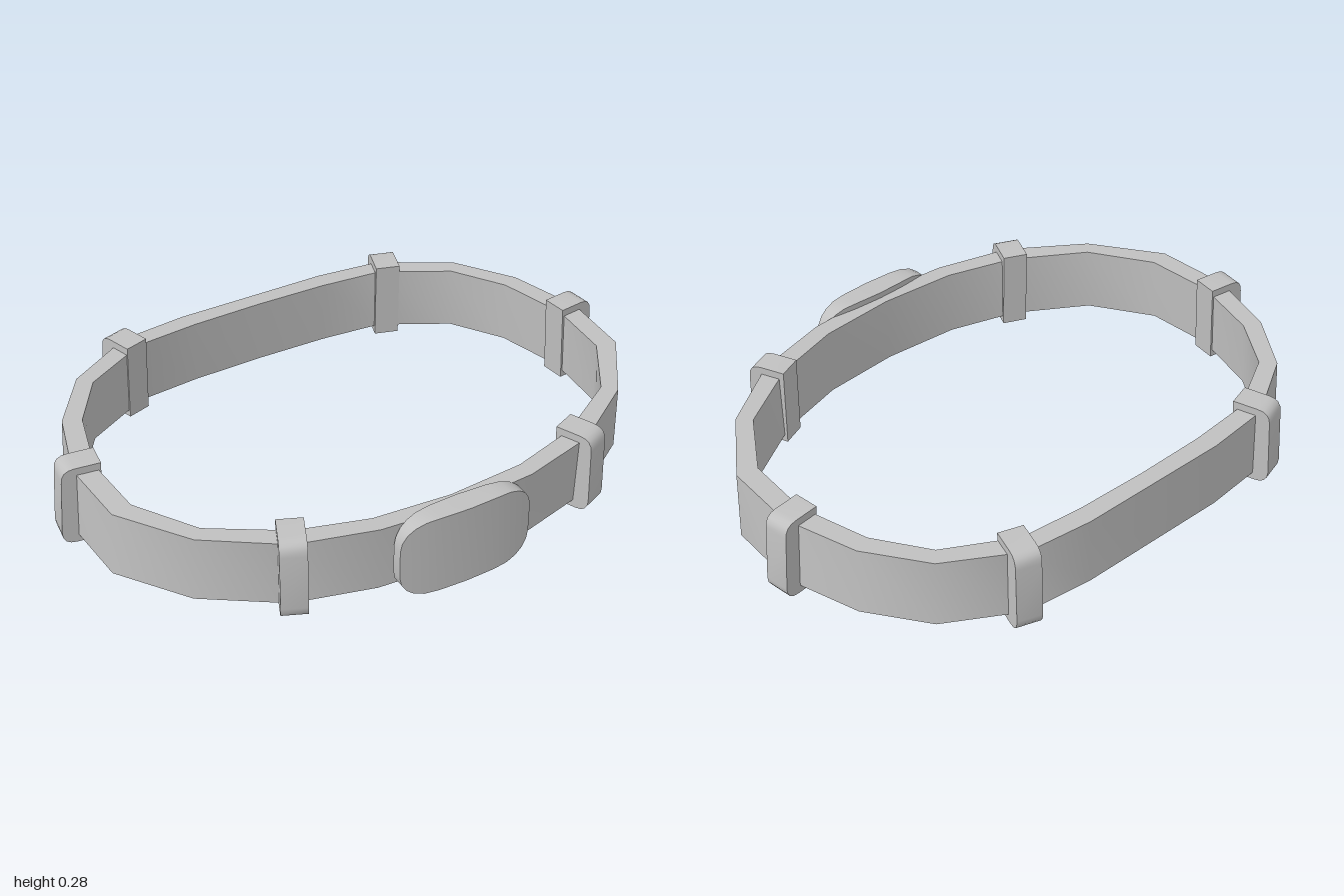
import * as THREE from 'three';
import { toCreasedNormals } from 'three/addons/utils/BufferGeometryUtils.js';

// Skins four-cornered cross-sections, either as a closed ring or a capped bar
function loft(sections, closed) {
  const pos = [];
  const quad = (a, b, c, d) => [a, b, c, a, c, d].forEach((p) => pos.push(...p));
  const n = sections.length;
  for (let i = 0; i < (closed ? n : n - 1); i++) {
    const s = sections[i], t = sections[(i + 1) % n];
    for (let j = 0; j < 4; j++) {
      const k = (j + 1) % 4;
      quad(s[j], s[k], t[k], t[j]);
    }
  }
  if (!closed) {
    quad(...[...sections[0]].reverse());
    quad(...sections[n - 1]);
  }
  const g = new THREE.BufferGeometry();
  g.setAttribute('position', new THREE.Float32BufferAttribute(pos, 3));
  return toCreasedNormals(g, 0.75);
}

// Half outlines from front centre to back centre, as [x, z]
const OUTER = [[0, 0.665], [0.27, 0.645], [0.53, 0.575], [0.77, 0.41], [0.93, 0.18], [0.945, -0.08],
  [0.87, -0.335], [0.735, -0.53], [0.5, -0.67], [0.27, -0.695], [0, -0.695]];
const INNER = [[0, 0.605], [0.265, 0.585], [0.5, 0.515], [0.73, 0.37], [0.86, 0.165], [0.875, -0.07],
  [0.81, -0.31], [0.695, -0.485], [0.47, -0.61], [0.25, -0.63], [0, -0.635]];

function mirrorOutline(half) {
  return [...half, ...half.slice(1, -1).reverse().map(([x, z]) => [-x, z])];
}

// The strap leans slightly outward and back toward its bottom edge
function bandGeometry() {
  const inner = mirrorOutline(INNER);
  const top = ([x, z]) => [x, 0.262, z];
  const bottom = ([x, z]) => [x * 1.012, 0.032, z - 0.008];
  return loft(mirrorOutline(OUTER).map((o, i) => [top(o), bottom(o), bottom(inner[i]), top(inner[i])]), true);
}

// Rounded plate, gently bowed across its width
function buckleGeometry() {
  const half = [[0.232, 0.05], [0.226, 0.08], [0.21, 0.106], [0.185, 0.125], [0.15, 0.137], [0.1, 0.14]];
  const stations = [...half.map(([x, h]) => [-x, h]), [0, 0.14], ...[...half].reverse()];
  const y = 0.143;
  return loft(stations.map(([x, h]) => {
    const f = 0.715 - 0.4 * x * x, b = 0.635 + 0.4 * x * x;
    return [[x, y + h, f], [x, y - h, f], [x, y - h, b], [x, y + h, b]];
  }), false);
}

// Loop keeper: rounded outer corners, square inner corners
function keeperGeometry(lean) {
  const w = 0.085, r = 0.045, a = -0.065, b = 0.065, y0 = 0.006, y1 = 0.288;
  const s = new THREE.Shape();
  s.moveTo(a + lean, y0);
  s.lineTo(b + lean - r, y0);
  s.quadraticCurveTo(b + lean, y0, b + lean, y0 + r);
  s.lineTo(b, y1 - r);
  s.quadraticCurveTo(b, y1, b - r, y1);
  s.lineTo(a, y1);
  s.closePath();
  const g = new THREE.ExtrudeGeometry(s, { depth: w, bevelEnabled: false, curveSegments: 4 });
  g.translate(0, 0, -w / 2);
  return toCreasedNormals(g, 0.75);
}

export function createModel() {
  const model = new THREE.Group();
  model.name = 'belt';
  const grey = new THREE.MeshStandardMaterial({ color: 0xc0c0c0 });
  grey.name = 'grey';

  const add = (geometry, name) => {
    const mesh = new THREE.Mesh(geometry, grey);
    mesh.name = name;
    model.add(mesh);
    return mesh;
  };

  add(bandGeometry(), 'band');
  add(buckleGeometry(), 'buckle');

  // Keepers: name, centre x and z, outward direction x and z, lean at the bottom
  const keepers = [
    ['frontKeeper', 0.52, 0.55, 0.4, 0.92, 0.005],
    ['sideKeeper', 0.923, -0.09, 0.99, -0.13, 0.014],
    ['backKeeper', 0.51, -0.645, 0.3, -0.95, 0.012],
  ];
  for (const [name, x, z, dx, dz, lean] of keepers) {
    for (const side of [1, -1]) {
      const keeper = add(keeperGeometry(lean), name + (side > 0 ? 'Left' : 'Right'));
      keeper.position.set(side * x, 0, z);
      keeper.rotation.y = Math.atan2(-dz, side * dx);
    }
  }
  return model;
}
